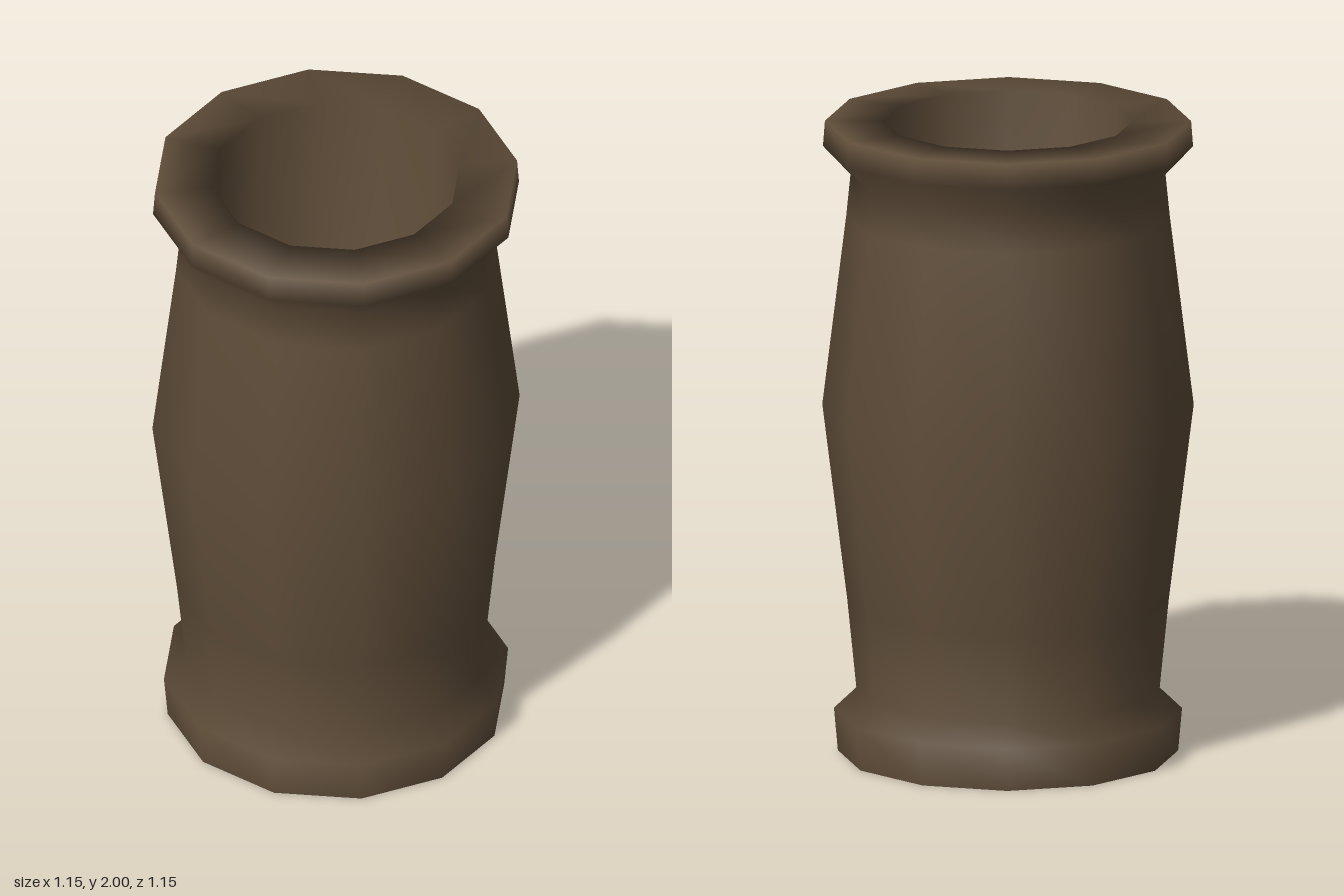
import * as THREE from 'three';

const SIDES = 12;

export function createModel() {
  const group = new THREE.Group();
  group.name = 'vase';
  const clay = new THREE.MeshStandardMaterial({ color: 0x5f4d39 });
  clay.name = 'brown clay';

  // Turns a profile of [radius, height] pairs into a twelve-sided part
  const turn = (name, profile) => {
    const points = profile.map(([r, y]) => new THREE.Vector2(r, y));
    const mesh = new THREE.Mesh(new THREE.LatheGeometry(points, SIDES), clay);
    mesh.name = name;
    group.add(mesh);
  };

  // Foot, belly, flared rim, then down the inside to the floor
  turn('vesselBody', [
    [0.525, 0], [0.537, 0.135], [0.468, 0.2], [0.496, 0.48],
    [0.573, 1.1], [0.499, 1.7], [0.486, 1.83], [0.571, 1.92], [0.565, 2],
    [0.385, 2], [0.385, 0.42], [0, 0.42],
  ]);

  // Underside: bevelled foot ring, tapering recess and its ceiling
  turn('footRing', [[0.457, 0.06], [0.525, 0]]);
  turn('footRecessWall', [[0.35, 0.36], [0.457, 0.06]]);
  turn('footRecessCeiling', [[0, 0.36], [0.35, 0.36]]);

  return group;
}
